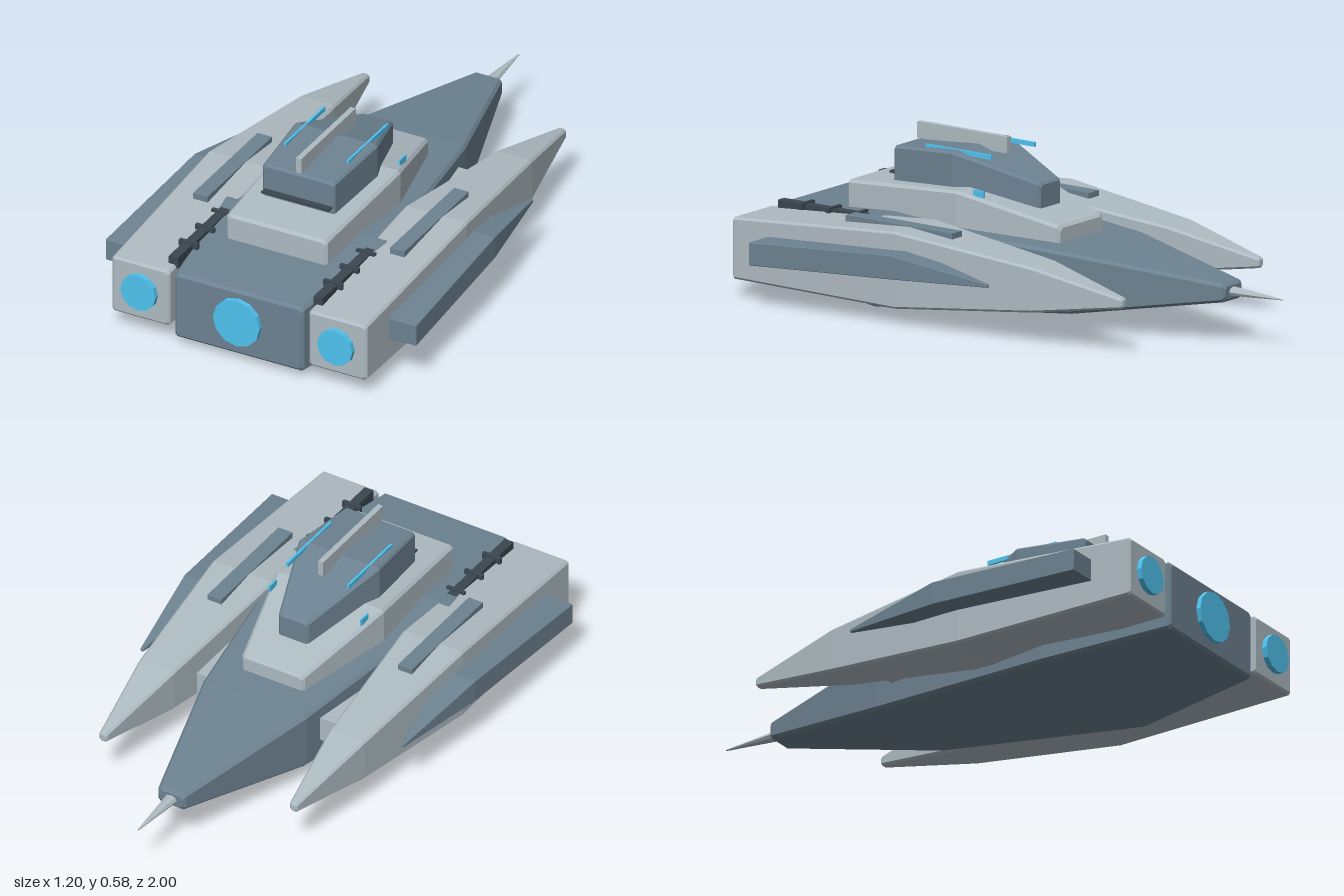
import * as THREE from 'three';

const paint = (color) => new THREE.MeshStandardMaterial({ color, flatShading: true });

// Bevelled box section, counter-clockwise when seen from +z
function section(cx, z, w, y0, y1, bevel) {
  const c = Math.min(bevel, w * 0.45, (y1 - y0) * 0.45);
  return [[-w + c, y0], [w - c, y0], [w, y0 + c], [w, y1 - c],
    [w - c, y1], [-w + c, y1], [-w, y1 - c], [-w, y0 + c]].map(([x, y]) => [cx + x, y, z]);
}

// Loft through stations [z, halfWidth, bottom, top] listed from +z to -z, with bevelled ends
function loft(cx, stations, bevel) {
  const first = stations[0], last = stations[stations.length - 1];
  const inset = ([z, w, y0, y1], dz) => {
    const b = Math.min(bevel, w * 0.4, (y1 - y0) * 0.4);
    return [z + Math.sign(dz) * b, w - b, y0 + b, y1 - b];
  };
  const rings = [inset(first, 1), ...stations, inset(last, -1)]
    .map(([z, w, y0, y1]) => section(cx, z, w, y0, y1, bevel));
  const pos = [];
  const tri = (a, b, c) => pos.push(...a, ...b, ...c);
  for (let i = 0; i < rings.length - 1; i++) {
    for (let j = 0; j < 8; j++) {
      const k = (j + 1) % 8;
      tri(rings[i][j], rings[i + 1][k], rings[i][k]);
      tri(rings[i][j], rings[i + 1][j], rings[i + 1][k]);
    }
  }
  const end = rings[rings.length - 1];
  for (let j = 1; j < 7; j++) {
    tri(rings[0][0], rings[0][j], rings[0][j + 1]);
    tri(end[0], end[j + 1], end[j]);
  }
  const g = new THREE.BufferGeometry();
  g.setAttribute('position', new THREE.Float32BufferAttribute(pos, 3));
  g.computeVertexNormals();
  return g;
}

// Box given by its limits on each axis
function box(x0, x1, y0, y1, z0, z1) {
  return new THREE.BoxGeometry(x1 - x0, y1 - y0, z1 - z0)
    .translate((x0 + x1) / 2, (y0 + y1) / 2, (z0 + z1) / 2);
}

export function createModel() {
  const ship = new THREE.Group();
  ship.name = 'spaceship';
  const dark = paint(0x6d8291), light = paint(0xaebbc2);
  const black = paint(0x3a4650), glow = paint(0x4fc3f0);
  const add = (name, geometry, material) => {
    const mesh = new THREE.Mesh(geometry, material);
    mesh.name = name;
    ship.add(mesh);
    return mesh;
  };
  const engine = (name, x, y, r) => add(name,
    new THREE.CylinderGeometry(r, r, 0.03, 12).rotateX(Math.PI / 2).translate(x, y, 0.982), glow);

  // Main hull, tapering to the nose
  add('mainHull', loft(0, [[0.97, 0.25, 0.033, 0.283], [0.5, 0.32, 0.004, 0.316],
    [-0.25, 0.205, 0.065, 0.275], [-0.78, 0.055, 0.153, 0.217]], 0.01), dark);
  add('noseSpike', new THREE.CylinderGeometry(0.003, 0.025, 0.22, 8)
    .rotateX(-Math.PI / 2).scale(1, 0.7, 1).translate(0, 0.185, -0.89), light);
  engine('mainEngine', 0, 0.165, 0.09);

  // Stepped bridge
  add('lowerDeck', loft(0, [[0.705, 0.195, 0.27, 0.395], [0.23, 0.215, 0.29, 0.427],
    [-0.13, 0.125, 0.26, 0.341]], 0.01), light);
  add('bridge', loft(0, [[0.55, 0.14, 0.38, 0.525], [0.29, 0.16, 0.38, 0.545],
    [0.0, 0.06, 0.34, 0.458]], 0.008), dark);
  add('bridgeFin', box(-0.01, 0.01, 0.528, 0.585, 0.17, 0.555), light);
  add('bridgeSlot', box(-0.13, 0.13, 0.425, 0.433, 0.54, 0.582), black);

  for (const s of [1, -1]) {
    const side = s > 0 ? 'left' : 'right';
    const at = (name, x0, x1, ...rest) => box(...(s > 0 ? [x0, x1] : [-x1, -x0]), ...rest);
    const part = (name, material, ...limits) => add(side + name, at(name, ...limits), material);

    // Side pod with its engine
    add(side + 'Pod', loft(s * 0.38, [[0.97, 0.112, 0.066, 0.281], [0.28, 0.12, 0.062, 0.331],
      [-0.27, 0.07, 0.118, 0.276], [-0.61, 0.016, 0.17, 0.206]], 0.008), light);
    engine(side + 'PodEngine', s * 0.38, 0.175, 0.068);
    part('PodStrip', dark, 0.352, 0.408, 0.29, 0.333, 0.1, 0.555);

    // Outer wing
    add(side + 'Wing', loft(s * 0.52, [[0.82, 0.08, 0.155, 0.235], [0.23, 0.06, 0.187, 0.27],
      [-0.14, 0.006, 0.201, 0.212]], 0.002), dark);

    // Strut joining pod and hull
    part('Strut', light, 0.16, 0.275, 0.14, 0.23, -0.18, 0.4);

    // Pipe with clamps in the gap between hull and pod
    part('Pipe', black, 0.262, 0.297, 0.27, 0.312, 0.56, 0.93);
    for (const z of [0.59, 0.705, 0.82]) {
      part('PipeClamp', black, 0.243, 0.315, 0.295, 0.318, z - 0.007, z + 0.007);
    }

    // Lit trim
    part('BridgeLight', glow, 0.117, 0.125, 0.53, 0.546, 0.15, 0.43);
    part('DeckLight', glow, 0.18, 0.186, 0.41, 0.434, 0.135, 0.18);
  }
  return ship;
}
